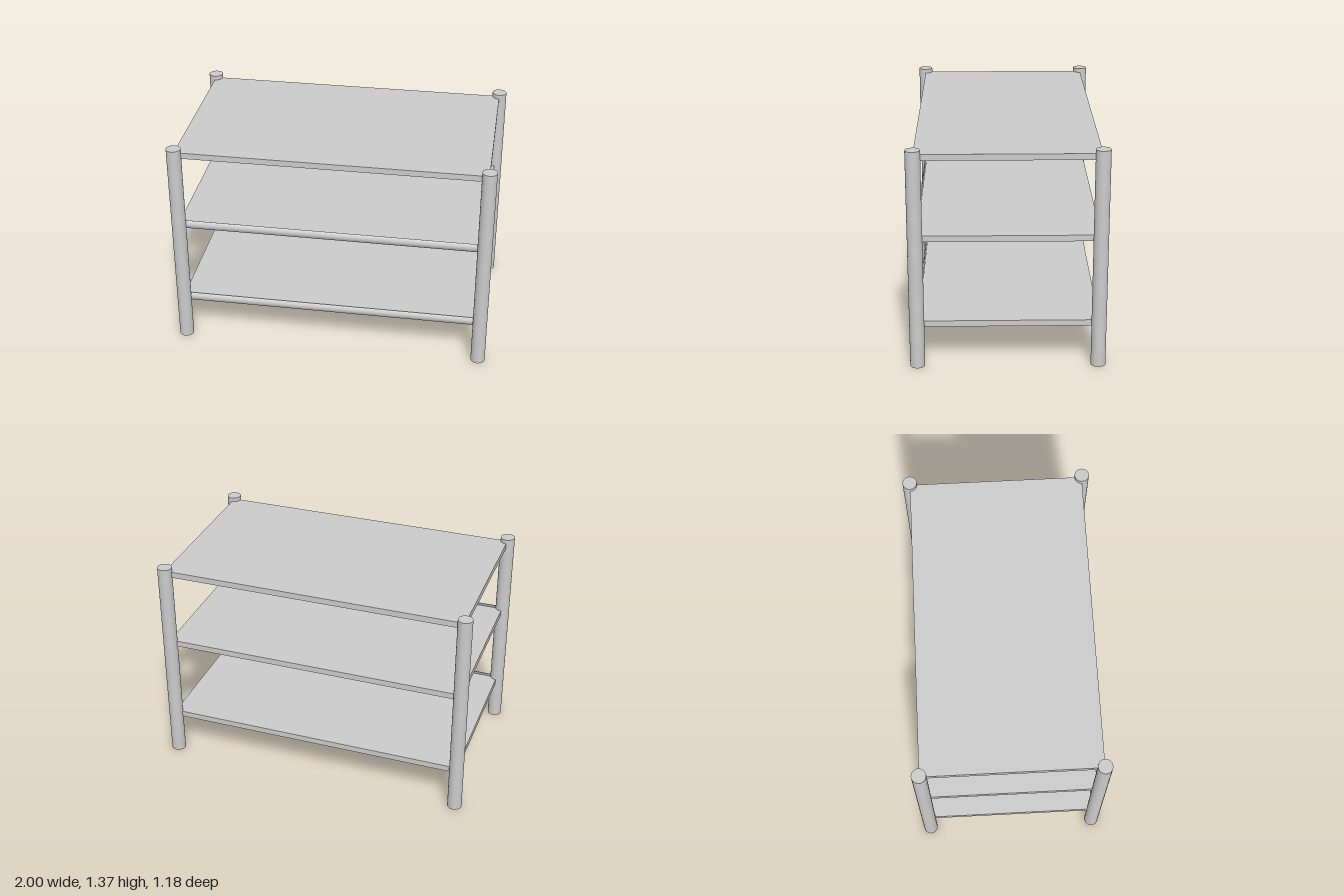
import * as THREE from 'three';

const POST_X = 0.955, POST_Z = 0.546, POST_R = 0.045, HEIGHT = 1.365;
const SHELF_T = 0.038;

export function createModel() {
  const model = new THREE.Group();
  model.name = 'shelfUnit';
  const grey = new THREE.MeshStandardMaterial({ color: 0xcccccc });
  const thin = new THREE.MeshStandardMaterial({ color: 0xcccccc, side: THREE.DoubleSide });

  const add = (name, geometry, material, x, y, z) => {
    const mesh = new THREE.Mesh(geometry, material);
    mesh.name = name;
    mesh.position.set(x, y, z);
    model.add(mesh);
    return mesh;
  };

  // Four round corner posts
  const postGeo = new THREE.CylinderGeometry(POST_R, POST_R, HEIGHT, 32);
  for (const sx of [-1, 1]) {
    for (const sz of [-1, 1]) {
      const name = (sz > 0 ? 'front' : 'back') + (sx > 0 ? 'Left' : 'Right') + 'Post';
      add(name, postGeo, grey, sx * POST_X, HEIGHT / 2, sz * POST_Z);
    }
  }

  // Three flat shelves; the lower two stop short to make room for the lip
  const shelves = [
    { name: 'bottomShelf', y: 0.255, lip: true },
    { name: 'middleShelf', y: 0.80, lip: true },
    { name: 'topShelf', y: 1.30, lip: false },
  ];
  for (const { name, y, lip } of shelves) {
    const front = lip ? POST_Z - 0.012 : POST_Z;
    const depth = front + POST_Z;
    add(name, new THREE.BoxGeometry(POST_X * 2, SHELF_T, depth), grey,
      0, y + SHELF_T / 2, (front - POST_Z) / 2);
    if (lip) add(name + 'Lip', lipGeometry(0.055, 0.012), thin, 0, y + 0.0285, front);
  }
  return model;
}

// Thin strip along x, bowed forward along its height
function lipGeometry(height, bulge) {
  const geo = new THREE.PlaneGeometry(POST_X * 2, height, 1, 12);
  const p = geo.attributes.position;
  for (let i = 0; i < p.count; i++) {
    const t = p.getY(i) / (height / 2);
    p.setZ(i, bulge * (1 - t * t));
  }
  geo.computeVertexNormals();
  return geo;
}
